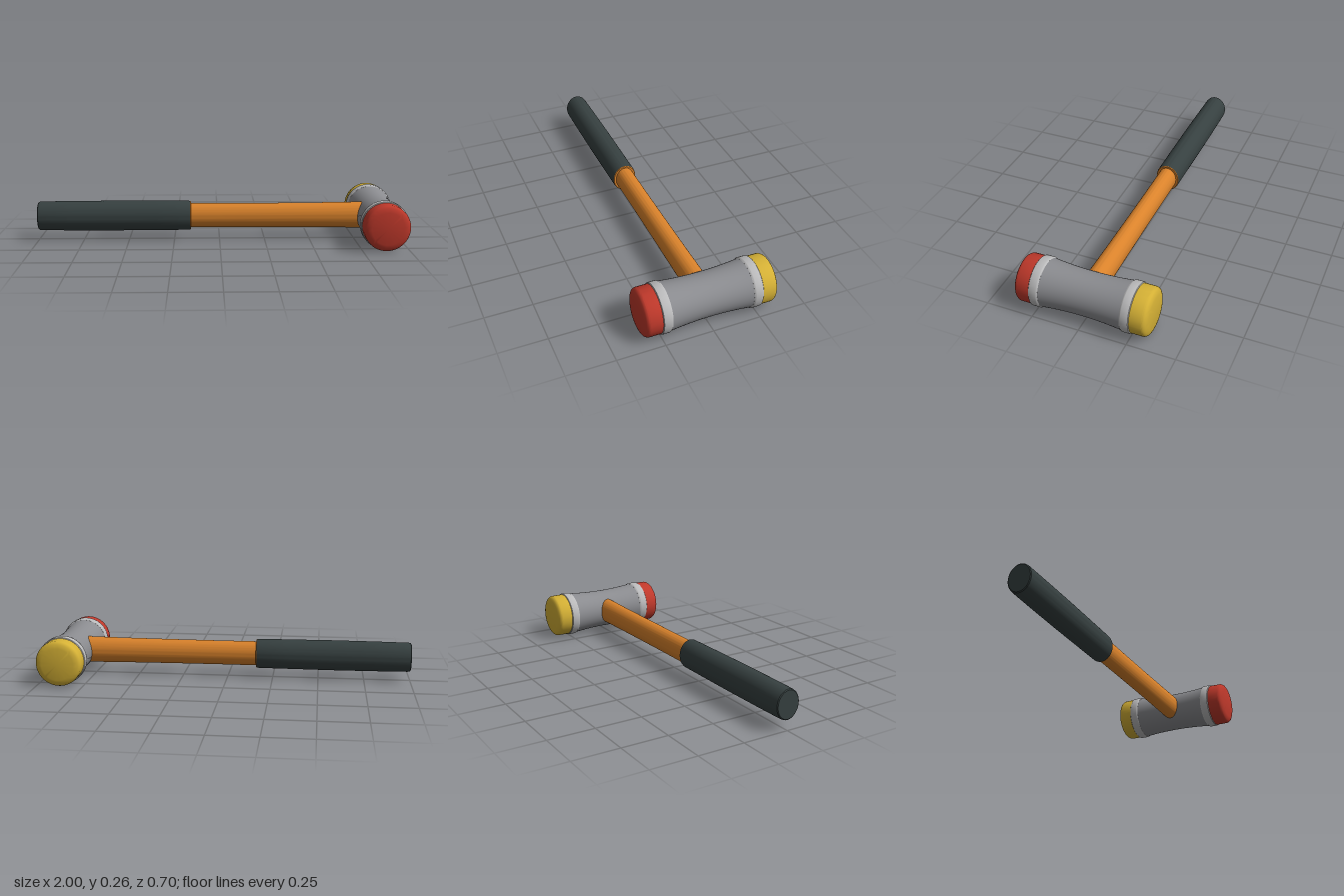
import * as THREE from 'three';
import { toCreasedNormals } from 'three/addons/utils/BufferGeometryUtils.js';

const AXIS_X = 0.872, AXIS_Y = 0.129, HANDLE_Y = 0.132;

function material(name, color) {
  const m = new THREE.MeshStandardMaterial({ color });
  m.name = name;
  return m;
}

// Profile points are [radius, distance along the axis]
function turned(profile, segments = 64) {
  return new THREE.LatheGeometry(profile.map(([r, t]) => new THREE.Vector2(r, t)), segments);
}

export function createModel() {
  const group = new THREE.Group();
  const orange = material('orange handle', 0xd9822b);
  const rubber = material('dark rubber', 0x364040);
  const steel = material('grey steel', 0x8b8c90);
  const silver = material('silver collar', 0xbababb);
  const red = material('red face', 0xc0392b);
  const yellow = material('yellow face', 0xd4b035);

  function add(name, geometry, mat, x, y) {
    const mesh = new THREE.Mesh(toCreasedNormals(geometry, 0.5), mat);
    mesh.name = name;
    mesh.position.set(x, y, 0);
    group.add(mesh);
  }

  // Oval parts lying along x; the profile radius is the half height
  function addOval(name, profile, mat, ratio) {
    const g = turned(profile);
    g.rotateZ(-Math.PI / 2);
    g.scale(1, 1, ratio);
    add(name, g, mat, 0, HANDLE_Y);
  }

  // Round parts along z, turned about for the back end
  function addHead(name, profile, mat, back = false) {
    const g = turned(profile);
    g.rotateX(Math.PI / 2);
    if (back) g.rotateY(Math.PI);
    add(name, g, mat, AXIS_X, AXIS_Y);
  }

  // Handle, flaring slightly towards the head
  addOval('shaft', [
    [0, -0.2], [0.067, -0.2], [0.067, 0.1], [0.068, 0.35], [0.07, 0.6], [0.073, 0.8], [0.073, 0.87], [0, 0.87],
  ], orange, 0.77);
  addOval('gripEndRing', [
    [0, -0.17], [0.079, -0.17], [0.079, -0.161], [0.076, -0.158], [0, -0.158],
  ], orange, 0.83);
  addOval('grip', [
    [0, -1], [0.073, -1], [0.078, -0.996], [0.08, -0.985], [0.082, -0.8],
    [0.083, -0.58], [0.082, -0.35], [0.081, -0.17], [0.079, -0.162], [0, -0.162],
  ], rubber, 0.83);

  // Waisted head body
  const body = [[0, -0.22]];
  for (let i = 0; i <= 20; i++) {
    const t = -1 + i / 10;
    body.push([0.111 + 0.0125 * t * t, t * 0.22]);
  }
  body.push([0, 0.22]);
  addHead('headBody', body, steel);

  // Collars and striking faces at both ends
  const collar = [
    [0, 0.212], [0.123, 0.212], [0.127, 0.217], [0.128, 0.221],
    [0.128, 0.255], [0.127, 0.259], [0.123, 0.262], [0, 0.262],
  ];
  const face = [
    [0, 0.258], [0.1225, 0.258], [0.1225, 0.323], [0.1205, 0.329], [0.116, 0.336],
    [0.108, 0.341], [0.098, 0.345], [0.086, 0.348], [0, 0.348],
  ];
  addHead('frontCollar', collar, silver);
  addHead('backCollar', collar, silver, true);
  addHead('frontFace', face, red);
  addHead('backFace', face, yellow, true);

  return group;
}
